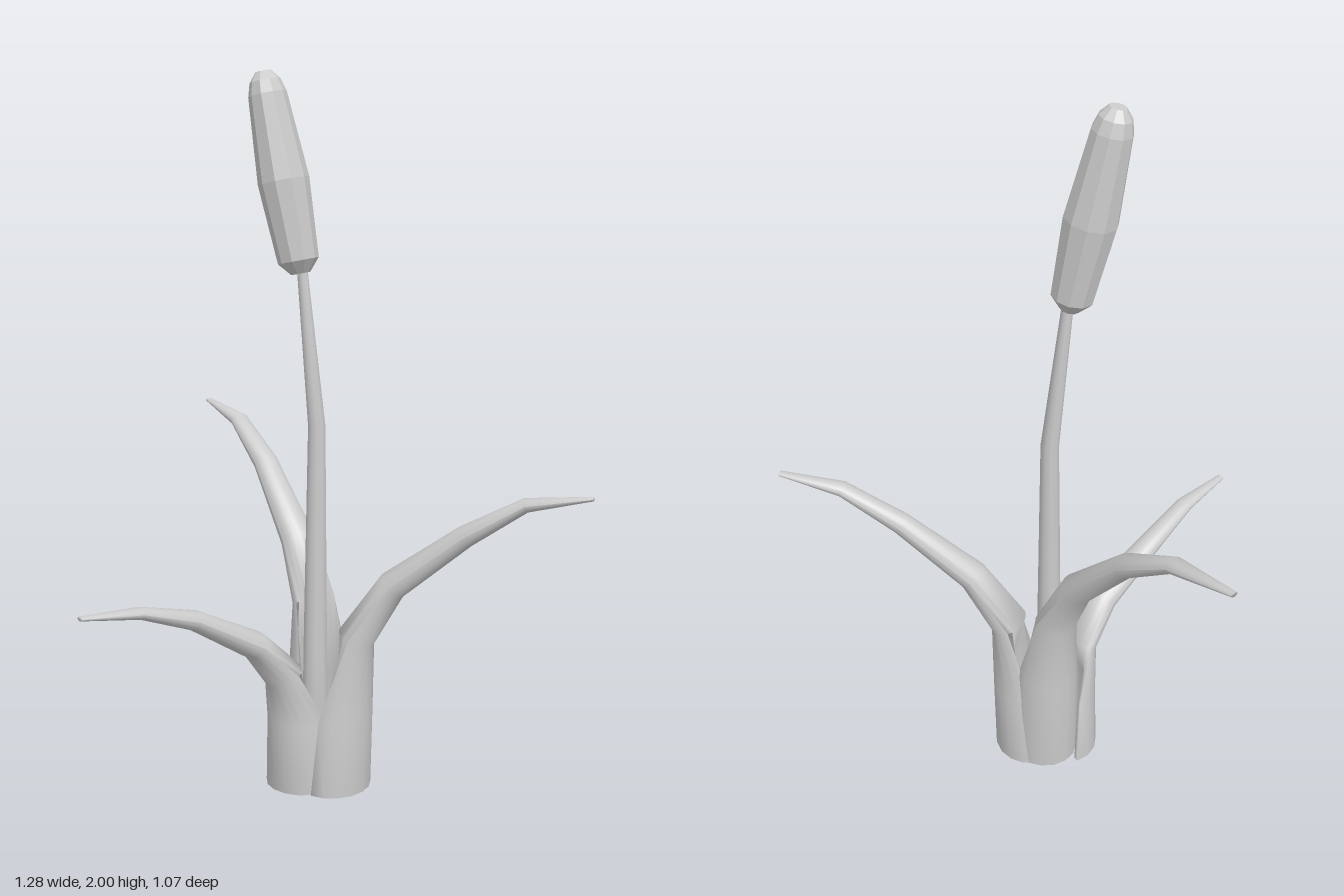
import * as THREE from 'three';

const material = new THREE.MeshStandardMaterial({ color: 0xcccccc, side: THREE.DoubleSide });
const flatMaterial = new THREE.MeshStandardMaterial({ color: 0xcccccc, flatShading: true });

// Skin closed rings of equal point count into one surface
function loft(rings) {
  const n = rings[0].length;
  const index = [];
  for (let r = 0; r < rings.length - 1; r++) {
    for (let i = 0; i < n; i++) {
      const a = r * n + i, b = r * n + (i + 1) % n;
      index.push(a, a + n, b, b, a + n, b + n);
    }
  }
  // End caps: strips joining each half of the ring to the other
  for (const [start, flip] of [[0, false], [(rings.length - 1) * n, true]]) {
    for (let i = 0; i < n / 2 - 1; i++) {
      const a = start + i, b = a + 1, c = start + n - 1 - i, d = c - 1;
      if (flip) index.push(a, c, b, b, c, d);
      else index.push(a, b, c, b, d, c);
    }
  }
  const geometry = new THREE.BufferGeometry();
  geometry.setAttribute('position', new THREE.Float32BufferAttribute(rings.flat().flatMap((p) => p.toArray()), 3));
  geometry.setIndex(index);
  geometry.computeVertexNormals();
  return geometry;
}

// Leaf: a sheath wrapped round the stem that closes into a tapering blade.
// Rows: centre x, y, z, half width, half depth, arc half-angle in degrees,
// inner depth factor (positive = hollow crescent, negative = full oval)
function leafGeometry(dirX, dirZ, rows) {
  const out = new THREE.Vector3(dirX, 0, dirZ).normalize();
  const side = new THREE.Vector3(-out.z, 0, out.x);
  const centres = rows.map(([x, y, z]) => new THREE.Vector3(x, y, z));
  const steps = 10;
  const rings = rows.map(([, , , w, d, degrees, k], r) => {
    const before = centres[Math.max(r - 1, 0)], after = centres[Math.min(r + 1, rows.length - 1)];
    const tangent = r < 2 ? new THREE.Vector3(0, 1, 0) : after.clone().sub(before).normalize();
    const normal = new THREE.Vector3().crossVectors(side, tangent).normalize();
    if (normal.dot(out) < 0) normal.negate();
    const span = THREE.MathUtils.degToRad(degrees);
    const point = (t, sw, sd) => centres[r].clone()
      .addScaledVector(side, w * sw * Math.sin(t * span))
      .addScaledVector(normal, d * sd * Math.cos(t * span));
    const ring = [];
    for (let i = 0; i <= steps; i++) ring.push(point(1 - 2 * i / steps, 1, 1));
    for (let i = 0; i <= steps; i++) ring.push(point(-1 + 2 * i / steps, k > 0 ? 0.85 : 0.97, k));
    return ring;
  });
  return loft(rings);
}

// Round stem rings: x, y, radius
function stemGeometry(rows, z, sides) {
  return loft(rows.map(([x, y, radius]) => Array.from({ length: sides }, (_, i) => {
    const a = -i / sides * Math.PI * 2;
    return new THREE.Vector3(x + radius * Math.cos(a), y, z - radius * Math.sin(a));
  })));
}

export function createModel() {
  const group = new THREE.Group();
  const add = (name, geometry, mat = material) => {
    const mesh = new THREE.Mesh(geometry, mat);
    mesh.name = name;
    group.add(mesh);
    return mesh;
  };

  // Three arching leaves
  add('leftLeaf', leafGeometry(1, 0, [
    [-0.08, 0, -0.055, 0.115, 0.105, 110, 0.85],
    [-0.07, 0.22, -0.055, 0.092, 0.103, 105, 0.8],
    [-0.02, 0.45, -0.055, 0.062, 0.062, 90, -0.7],
    [0.09, 0.605, -0.058, 0.046, 0.045, 90, -0.9],
    [0.295, 0.76, -0.055, 0.032, 0.033, 90, -0.9],
    [0.46, 0.857, -0.057, 0.027, 0.021, 90, -0.9],
    [0.64, 0.885, -0.055, 0.011, 0.006, 90, -0.9],
  ]));
  add('backLeaf', leafGeometry(-0.76, -0.65, [
    [-0.12, 0, -0.07, 0.1, 0.105, 110, 0.85],
    [-0.125, 0.3, -0.075, 0.09, 0.1, 105, 0.8],
    [-0.15, 0.53, -0.105, 0.065, 0.068, 90, -0.5],
    [-0.22, 0.69, -0.165, 0.052, 0.047, 90, -0.9],
    [-0.36, 0.885, -0.288, 0.038, 0.034, 90, -0.9],
    [-0.485, 0.99, -0.4, 0.029, 0.021, 90, -0.9],
    [-0.635, 1.025, -0.53, 0.011, 0.006, 90, -0.9],
  ]));
  add('frontLeaf', leafGeometry(-0.57, 0.82, [
    [-0.17, 0, -0.045, 0.11, 0.105, 110, 0.85],
    [-0.175, 0.2, -0.035, 0.092, 0.095, 105, 0.8],
    [-0.2, 0.35, 0.015, 0.064, 0.066, 90, -0.6],
    [-0.26, 0.45, 0.1, 0.05, 0.042, 90, -0.9],
    [-0.38, 0.555, 0.245, 0.035, 0.029, 90, -0.9],
    [-0.47, 0.61, 0.39, 0.027, 0.017, 90, -0.9],
    [-0.57, 0.628, 0.53, 0.011, 0.006, 90, -0.9],
  ]));

  // Slender stem, bending towards the head
  add('stem', stemGeometry([
    [-0.125, 0, 0.042], [-0.125, 0.4, 0.035], [-0.117, 1.05, 0.025], [-0.156, 1.48, 0.015],
  ], -0.025, 10));

  // Faceted seed head
  const profile = [[0, 0], [0.026, 0], [0.056, 0.035], [0.07, 0.25], [0.052, 0.48], [0.042, 0.515], [0.022, 0.54], [0, 0.54]];
  const head = add('seedHead', new THREE.LatheGeometry(profile.map(([x, y]) => new THREE.Vector2(x, y)), 10), flatMaterial);
  head.position.set(-0.16, 1.465, -0.025);
  head.rotation.z = 0.187;

  return group;
}
